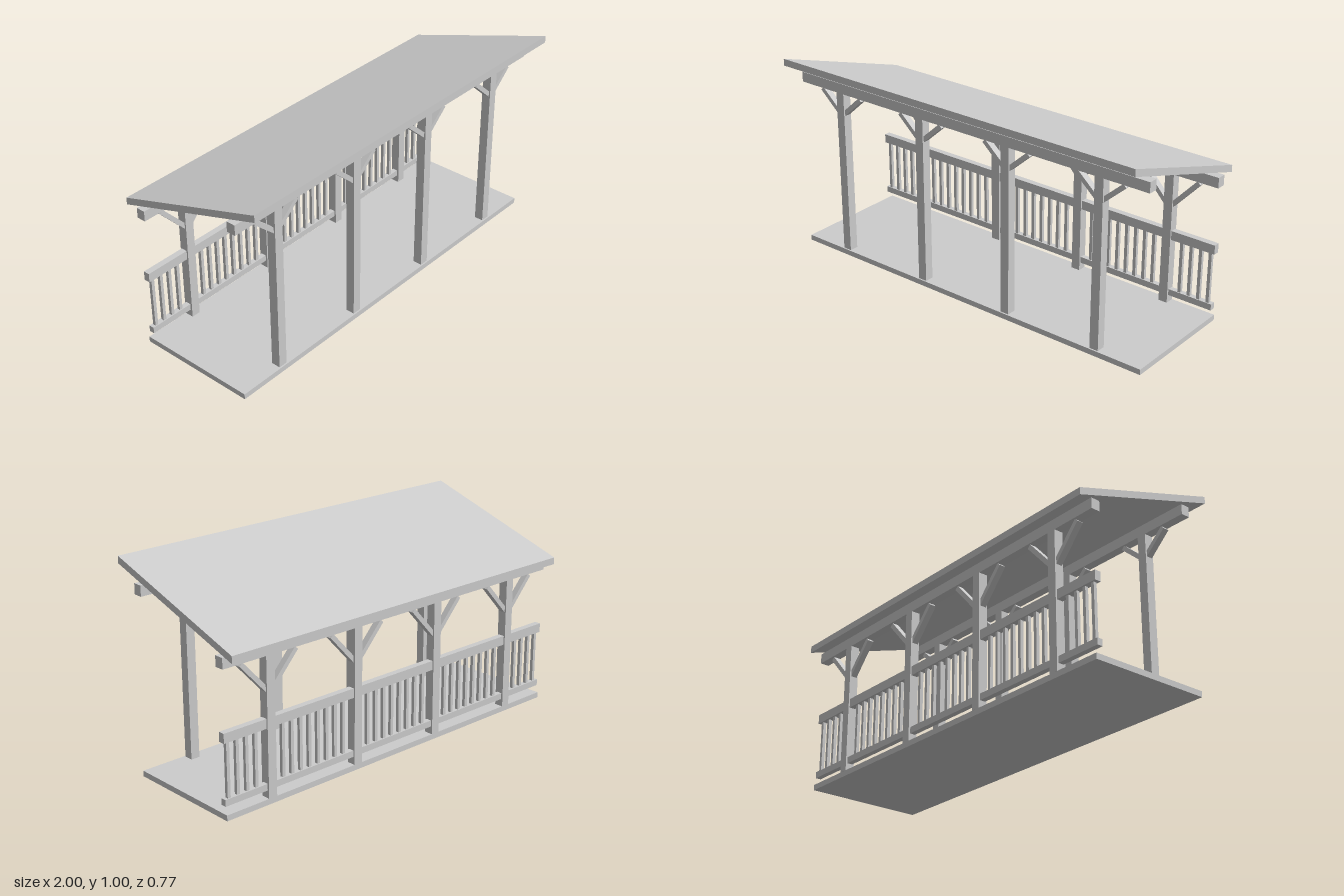
import * as THREE from 'three';

export function createModel() {
  const model = new THREE.Group();
  model.name = 'openShelter';
  const paint = new THREE.MeshStandardMaterial({ color: 0xcccccc });
  paint.name = 'light grey';

  // Box given by its limits on each axis
  function block(name, [x0, x1], [y0, y1], [z0, z1], parent = model) {
    const mesh = new THREE.Mesh(new THREE.BoxGeometry(x1 - x0, y1 - y0, z1 - z0), paint);
    mesh.position.set((x0 + x1) / 2, (y0 + y1) / 2, (z0 + z1) / 2);
    mesh.name = name;
    parent.add(mesh);
    return mesh;
  }

  // Diagonal brace: its underside runs from (x0, y0) near the post up to (x1, y1)
  function brace(x0, y0, x1, y1, z, parent) {
    const thick = 0.022;
    const dx = x1 - x0, dy = y1 - y0, length = Math.hypot(dx, dy);
    const inward = -Math.sign(dx);
    const mesh = new THREE.Mesh(new THREE.BoxGeometry(length, thick, 0.031), paint);
    mesh.position.set(
      (x0 + x1) / 2 + inward * (dy / length) * thick / 2,
      (y0 + y1) / 2 + (Math.abs(dx) / length) * thick / 2,
      z
    );
    mesh.rotation.z = Math.atan2(dy, dx);
    mesh.name = 'brace';
    parent.add(mesh);
  }

  const full = [-1, 1];
  const postX = [-0.75, -0.25, 0.25, 0.75];

  block('floor', full, [0, 0.027], [-0.32, 0.278]);

  // Two rows of posts, each with a beam and paired braces
  const rows = [
    { name: 'front', z: 0.248, top: 0.853, low: 0.741, high: 0.838, reach: 0.131 },
    { name: 'back', z: -0.298, top: 0.677, low: 0.515, high: 0.662, reach: 0.157 },
  ];
  for (const row of rows) {
    const group = new THREE.Group();
    group.name = row.name + 'Frame';
    model.add(group);
    const depth = [row.z - 0.0225, row.z + 0.0225];
    block(row.name + 'Beam', full, [row.top, row.top + 0.05], depth, group);
    for (const x of postX) {
      block(row.name + 'Post', [x - 0.0225, x + 0.0225], [0.027, row.top], depth, group);
      for (const side of [-1, 1]) {
        brace(x + side * 0.022, row.low, x + side * row.reach, row.high, row.z, group);
      }
    }
  }

  // Railing along the back, with balusters left out at the posts
  const railing = new THREE.Group();
  railing.name = 'railing';
  model.add(railing);
  block('topRail', full, [0.35, 0.395], [-0.314, -0.283], railing);
  block('bottomRail', full, [0.064, 0.095], [-0.312, -0.285], railing);
  for (let i = 0; i < 40; i++) {
    const x = -0.975 + i * 0.05;
    if (postX.some((p) => Math.abs(p - x) < 0.04)) continue;
    block('baluster', [x - 0.008, x + 0.008], [0.095, 0.35], [-0.306, -0.29], railing);
  }

  // Sloping roof slab: a box sheared upward toward the front, with plumb ends
  const roof = block('roof', full, [0.842, 0.876], [-0.383, 0.383]);
  const points = roof.geometry.attributes.position;
  for (let i = 0; i < points.count; i++) {
    points.setY(i, points.getY(i) + points.getZ(i) * 0.324);
  }
  roof.geometry.computeVertexNormals();

  return model;
}
